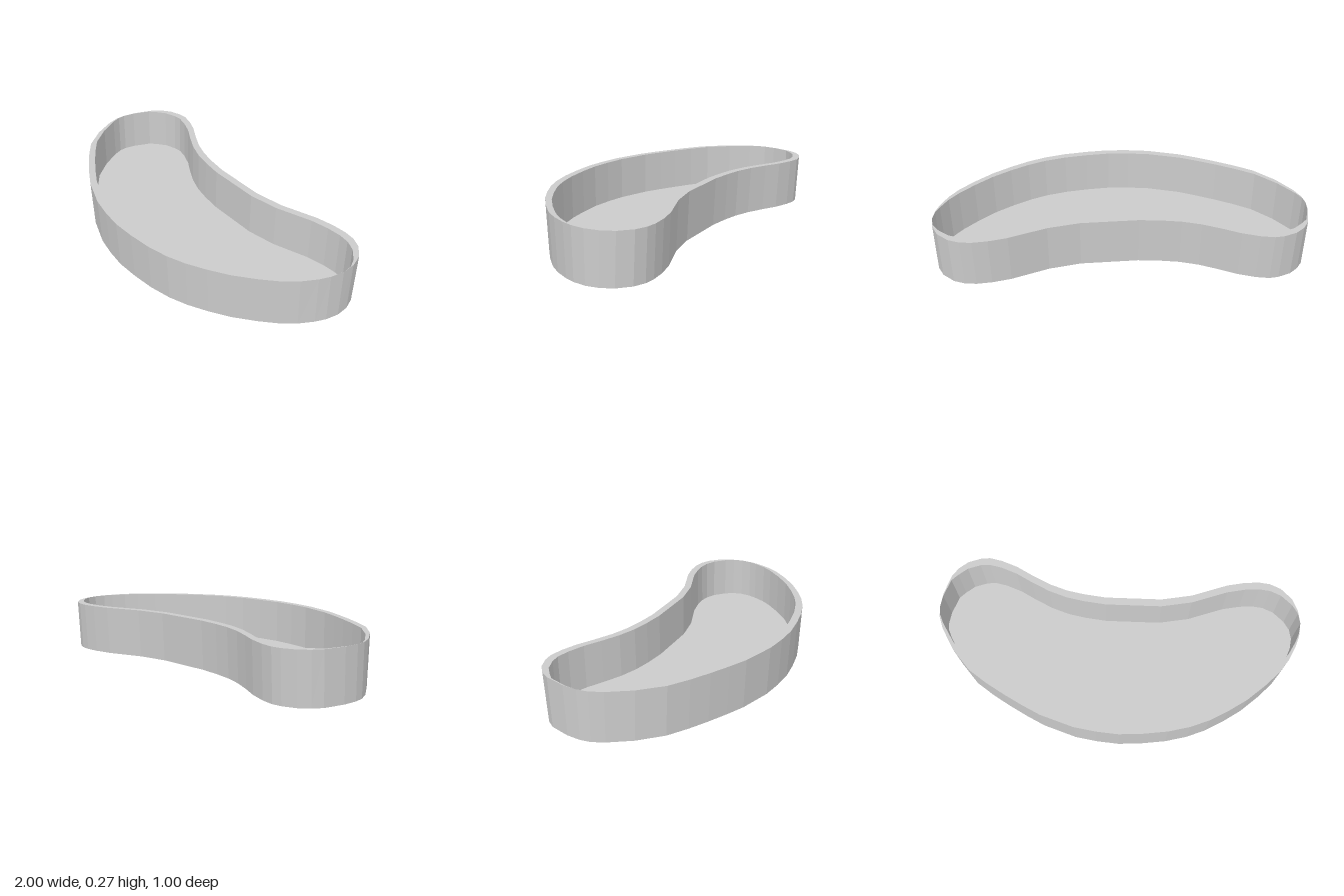
import * as THREE from 'three';

const HEIGHT = 0.27, FLOOR = 0.03, RIM = 0.042, TAPER = 0.012;

// Rim outline as x, z pairs: along the back from left to right, then along the front
const OUTLINE = [
  -1, -0.19, -0.99, -0.27, -0.955, -0.38, -0.92, -0.43, -0.87, -0.47, -0.8, -0.495, -0.75, -0.5,
  -0.68, -0.485, -0.59, -0.45, -0.5, -0.4, -0.4, -0.35, -0.3, -0.315, -0.2, -0.295, -0.08, -0.28,
  0.08, -0.28, 0.23, -0.28, 0.4, -0.31, 0.5, -0.345, 0.6, -0.38, 0.7, -0.4, 0.78, -0.405,
  0.84, -0.397, 0.9, -0.37, 0.96, -0.31, 0.99, -0.24, 1, -0.165, 0.99, -0.09, 0.97, -0.03,
  0.93, 0.05, 0.88, 0.12, 0.8, 0.2, 0.7, 0.285, 0.6, 0.35, 0.5, 0.405, 0.4, 0.445,
  0.28, 0.475, 0.15, 0.492, 0.02, 0.5, -0.1, 0.49, -0.22, 0.47, -0.4, 0.41, -0.5, 0.36,
  -0.6, 0.305, -0.7, 0.245, -0.8, 0.175, -0.9, 0.06, -0.97, -0.06, -0.995, -0.13,
];
const POINTS = [];
for (let i = 0; i < OUTLINE.length; i += 2) POINTS.push(new THREE.Vector2(OUTLINE[i], OUTLINE[i + 1]));

// Outline drawn in front-to-back only, so the wall thins out at the two ends
function inset(amount) {
  const n = POINTS.length;
  return POINTS.map((p, i) => {
    const t = POINTS[(i + 1) % n].clone().sub(POINTS[(i + n - 1) % n]).normalize();
    const shift = THREE.MathUtils.clamp(t.x * 1.6, -1, 1) * amount;
    return new THREE.Vector2(p.x, p.y + shift);
  });
}

// Strip of faces between two outlines at given heights
function band(lower, y0, upper, y1) {
  const pos = [];
  lower.forEach((p, i) => {
    const j = (i + 1) % lower.length;
    const a = [p.x, y0, p.y], b = [lower[j].x, y0, lower[j].y];
    const c = [upper[i].x, y1, upper[i].y], d = [upper[j].x, y1, upper[j].y];
    pos.push(...a, ...c, ...b, ...b, ...c, ...d);
  });
  const geo = new THREE.BufferGeometry();
  geo.setAttribute('position', new THREE.Float32BufferAttribute(pos, 3));
  geo.computeVertexNormals();
  return geo;
}

// Flat sheet filling an outline, facing up or down
function sheet(ring, y, up) {
  const s = up ? -1 : 1;
  const shape = new THREE.Shape(ring.map((p) => new THREE.Vector2(p.x, s * p.y)));
  return new THREE.ShapeGeometry(shape).rotateX(s * Math.PI / 2).translate(0, y, 0);
}

export function createModel() {
  const group = new THREE.Group();
  group.name = 'kidneyDish';
  const material = new THREE.MeshStandardMaterial({ color: 0xcccccc, flatShading: true });
  const add = (name, geometry) => {
    const mesh = new THREE.Mesh(geometry, material);
    mesh.name = name;
    group.add(mesh);
  };

  const base = inset(TAPER), top = inset(0), inner = inset(RIM);
  add('outerWall', band(base, 0, top, HEIGHT));
  add('rim', band(top, HEIGHT, inner, HEIGHT));
  add('innerWall', band(inner, HEIGHT, inner, FLOOR));
  add('floor', sheet(inner, FLOOR, true));
  add('underside', sheet(base, 0, false));
  return group;
}
